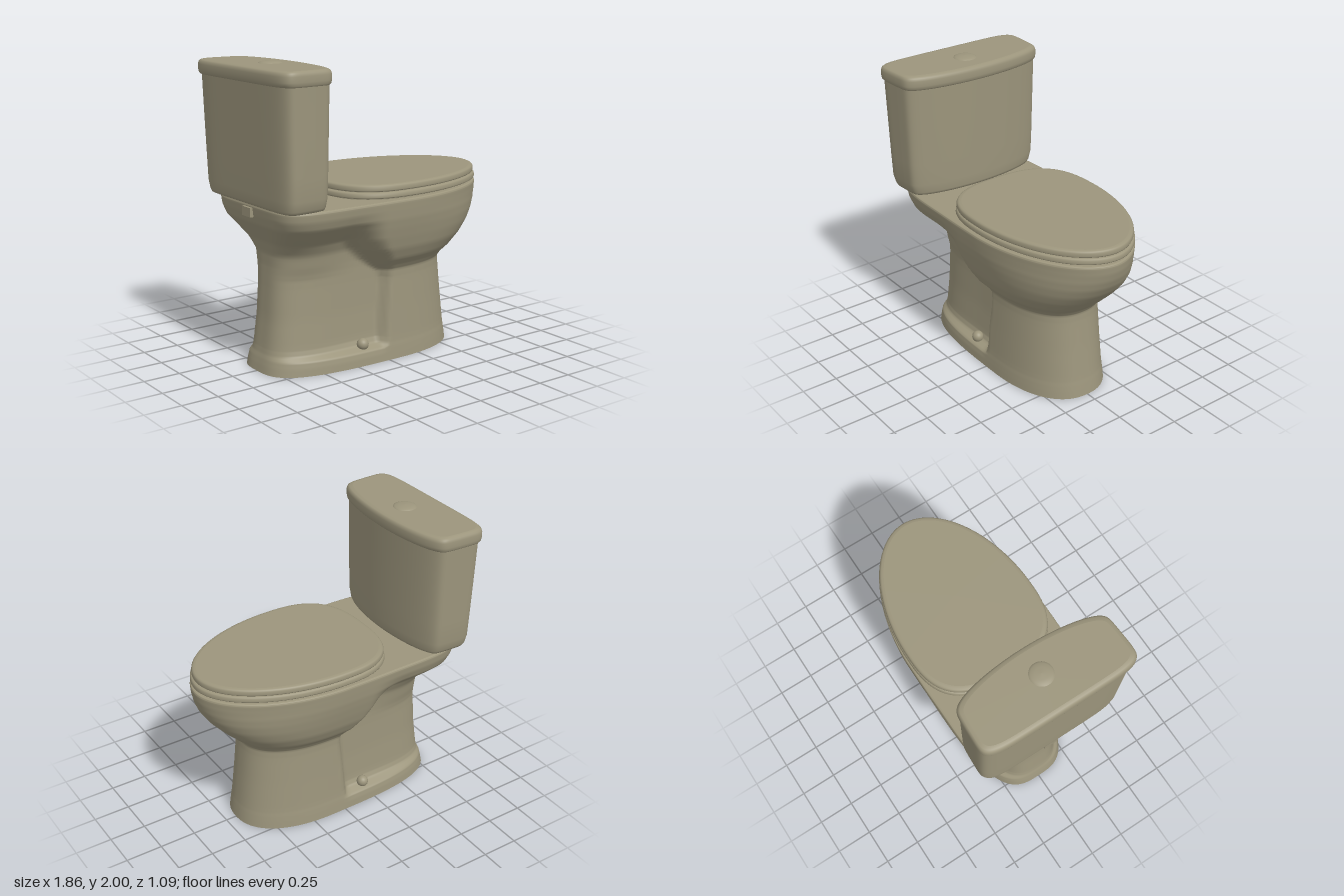
import * as THREE from 'three';

const { lerp, smoothstep } = THREE.MathUtils;
const SEG = 240;

// unit superellipse point in the direction of angle t
function unit(t, n) {
  const c = Math.cos(t), s = Math.sin(t);
  const r = Math.pow(Math.pow(Math.abs(c), n) + Math.pow(Math.abs(s), n), -1 / n);
  return [c * r, s * r];
}

// smooth skin through closed rings (bottom to top), with flat end caps
function loft(rings) {
  const pos = [], idx = [], n = rings[0].length;
  rings.forEach(r => r.forEach(p => pos.push(...p)));
  for (let i = 0; i < rings.length - 1; i++) {
    for (let j = 0; j < n; j++) {
      const a = i * n + j, b = i * n + (j + 1) % n;
      idx.push(a, a + n, b, b, a + n, b + n);
    }
  }
  [rings[0], rings[rings.length - 1]].forEach((ring, top) => {
    const start = pos.length / 3;
    ring.forEach(p => pos.push(...p));
    const xs = ring.map(p => p[0]);
    pos.push((Math.min(...xs) + Math.max(...xs)) / 2, ring[0][1], 0);
    for (let j = 0; j < n; j++) {
      const a = start + j, b = start + (j + 1) % n;
      idx.push(start + n, top ? b : a, top ? a : b);
    }
  });
  const g = new THREE.BufferGeometry();
  g.setAttribute('position', new THREE.Float32BufferAttribute(pos, 3));
  g.setIndex(idx);
  g.computeVertexNormals();
  return g;
}

function makeRing(fn) {
  return Array.from({ length: SEG }, (_, j) => fn((j / SEG) * Math.PI * 2));
}

// bowl and pedestal: y, back x, front x, front half width, rear half width,
// x where the side recess ends, softness of that edge
const BODY = [
  [0.00, -0.82, 0.675, 0.350, 0.350, 0.00, 0.06],
  [0.05, -0.81, 0.668, 0.346, 0.346, 0.00, 0.06],
  [0.09, -0.80, 0.662, 0.342, 0.338, 0.00, 0.06],
  [0.12, -0.79, 0.657, 0.338, 0.275, 0.00, 0.06],
  [0.16, -0.782, 0.652, 0.335, 0.258, 0.005, 0.06],
  [0.35, -0.758, 0.630, 0.325, 0.245, 0.02, 0.06],
  [0.55, -0.745, 0.610, 0.316, 0.240, 0.04, 0.06],
  [0.61, -0.742, 0.607, 0.317, 0.240, 0.04, 0.08],
  [0.65, -0.740, 0.635, 0.345, 0.240, 0.02, 0.13],
  [0.70, -0.738, 0.690, 0.392, 0.242, 0.00, 0.18],
  [0.78, -0.740, 0.770, 0.432, 0.250, -0.06, 0.22],
  [0.86, -0.765, 0.840, 0.455, 0.285, -0.10, 0.26],
  [0.93, -0.805, 0.885, 0.472, 0.375, -0.10, 0.30],
  [0.99, -0.840, 0.910, 0.484, 0.455, -0.10, 0.30],
  [1.05, -0.855, 0.925, 0.490, 0.482, -0.10, 0.30],
  [1.10, -0.860, 0.930, 0.494, 0.490, -0.10, 0.30],
  [1.112, -0.856, 0.926, 0.490, 0.486, -0.10, 0.30],
  [1.116, -0.846, 0.916, 0.480, 0.476, -0.10, 0.30],
];

function bodyRing([y, xb, xf, w, wr, xs, soft]) {
  const up = smoothstep(y, 0.75, 1.08), xm = 0.08;
  return makeRing(t => {
    const front = Math.cos(t) > 0;
    const [u, v] = unit(t, front ? lerp(2.3, 1.92, up) : lerp(3.2, 7, up));
    const x = xm + u * (front ? xf - xm : xm - xb);
    // the recess is deepest beside its front edge and fades to the back
    const rear = wr + (w - wr) * 0.4 * (1 - smoothstep(x, -0.75, -0.15));
    return [x, y, v * lerp(rear, w, smoothstep(x, xs - soft, xs))];
  });
}

function bodyGeometry() {
  const rings = [], steps = 4;
  for (let i = 0; i < BODY.length - 1; i++) {
    for (let s = 0; s < steps; s++) {
      const f = s / steps;
      rings.push(bodyRing(BODY[i].map((v, k) => lerp(v, BODY[i + 1][k], f))));
    }
  }
  rings.push(bodyRing(BODY[BODY.length - 1]));
  return loft(rings);
}

// egg-shaped slab: rows of y and inset from the full outline
function seatGeometry(xb, xf, w, rows) {
  const xm = 0.1;
  return loft(rows.map(([y, inset]) => makeRing(t => {
    const front = Math.cos(t) > 0;
    const [u, v] = unit(t, front ? 1.95 : 2.8);
    return [xm + u * ((front ? xf - xm : xm - xb) - inset), y, v * (w - inset)];
  })));
}

// bow-fronted tank section: rows of y, back x, front x, half width
function tankGeometry(rows) {
  return loft(rows.map(([y, xb, xf, w]) => makeRing(t => {
    const [u, v] = unit(t, 7);
    const x = (xb + xf) / 2 + u * (xf - xb) / 2;
    return [x - (u > 0 ? 0.07 * v * v * u : 0), y, v * w * (1 - 0.018 * (u + 1))];
  })));
}

export function createModel() {
  const model = new THREE.Group();
  model.name = 'toilet';
  const ceramic = new THREE.MeshStandardMaterial({ color: 0x9c957c });
  ceramic.name = 'olive beige ceramic';

  const add = (name, geometry, x = 0, y = 0, z = 0) => {
    const mesh = new THREE.Mesh(geometry, ceramic);
    mesh.name = name;
    mesh.position.set(x, y, z);
    model.add(mesh);
    return mesh;
  };

  add('bowlAndPedestal', bodyGeometry());

  // seat, lid and the recessed pads between them
  add('seatPads', seatGeometry(-0.32, 0.88, 0.44, [[1.11, 0], [1.135, 0]]));
  add('seat', seatGeometry(-0.37, 0.925, 0.485,
    [[1.13, 0.012], [1.133, 0.003], [1.14, 0], [1.158, 0.002], [1.166, 0.008], [1.169, 0.018]]));
  add('lidPads', seatGeometry(-0.34, 0.89, 0.455, [[1.16, 0], [1.18, 0]]));
  add('seatLid', seatGeometry(-0.362, 0.912, 0.48,
    [[1.174, 0.012], [1.177, 0.003], [1.184, 0], [1.204, 0.001], [1.213, 0.007], [1.217, 0.016], [1.219, 0.03]]));

  // tank
  add('tank', tankGeometry([
    [1.115, -0.865, -0.53, 0.475], [1.122, -0.882, -0.512, 0.495], [1.14, -0.888, -0.506, 0.505],
    [1.2, -0.892, -0.502, 0.522], [1.35, -0.896, -0.5, 0.528], [1.6, -0.904, -0.497, 0.534],
    [1.9, -0.912, -0.494, 0.542]]));
  add('tankLid', tankGeometry([
    [1.89, -0.92, -0.492, 0.542], [1.9, -0.93, -0.484, 0.55], [1.92, -0.934, -0.48, 0.553],
    [1.955, -0.934, -0.48, 0.553], [1.973, -0.929, -0.485, 0.548], [1.982, -0.919, -0.495, 0.538],
    [1.986, -0.9, -0.514, 0.519]]));

  // domed flush button
  const dome = [[0, 0.018], [0.04, 0.016], [0.065, 0.011], [0.077, 0.005], [0.08, 0], [0.08, -0.01]];
  add('flushButton', new THREE.LatheGeometry(
    dome.reverse().map(([r, y]) => new THREE.Vector2(r, y)), 40), -0.68, 1.982, 0);

  // small block on the back edge
  add('rearBlock', new THREE.BoxGeometry(0.05, 0.06, 0.1), -0.852, 1.065, 0);

  // floor bolt caps on the side ledges
  for (const side of [1, -1]) {
    add(side > 0 ? 'boltCapLeft' : 'boltCapRight',
      new THREE.SphereGeometry(0.04, 24, 16), -0.18, 0.132, side * 0.29);
  }
  return model;
}
